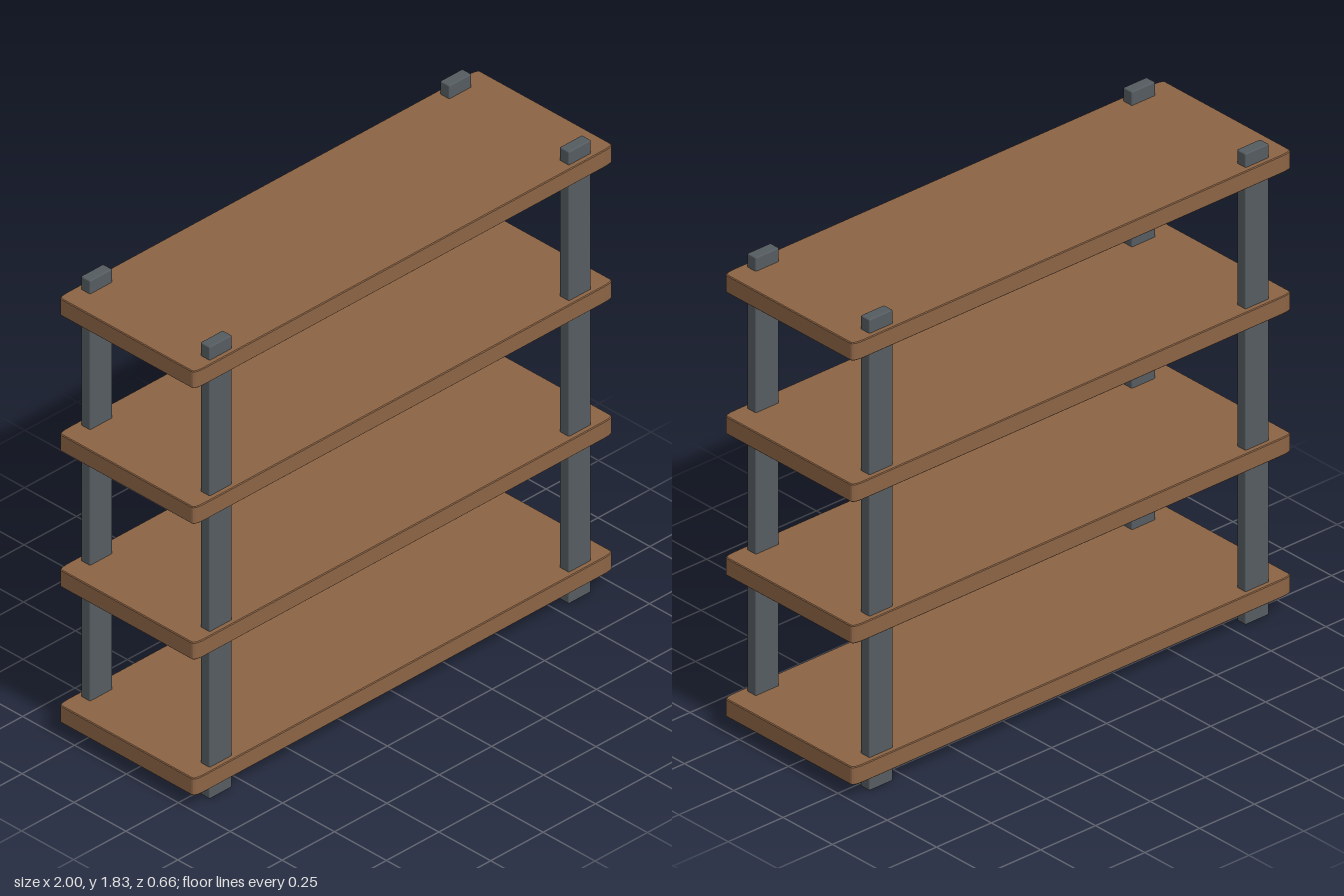
import * as THREE from 'three';
import { RoundedBoxGeometry } from 'three/addons/geometries/RoundedBoxGeometry.js';

export function createModel() {
  const group = new THREE.Group();
  group.name = 'shelvingUnit';

  const wood = new THREE.MeshStandardMaterial({ color: 0x8c6445 });
  wood.name = 'brown wood';
  const metal = new THREE.MeshStandardMaterial({ color: 0x555c61 });
  metal.name = 'dark grey metal';

  // Shelf outline: a board whose corners ease off more along x than along z
  const hx = 1, hz = 0.33, rx = 0.05, rz = 0.016;
  const outline = new THREE.Shape();
  outline.moveTo(-hx + rx, -hz);
  outline.lineTo(hx - rx, -hz);
  outline.quadraticCurveTo(hx, -hz, hx, -hz + rz);
  outline.lineTo(hx, hz - rz);
  outline.quadraticCurveTo(hx, hz, hx - rx, hz);
  outline.lineTo(-hx + rx, hz);
  outline.quadraticCurveTo(-hx, hz, -hx, hz - rz);
  outline.lineTo(-hx, -hz + rz);
  outline.quadraticCurveTo(-hx, -hz, -hx + rx, -hz);

  const thickness = 0.07, bevel = 0.003;
  const shelfGeometry = new THREE.ExtrudeGeometry(outline, {
    depth: thickness - 2 * bevel, curveSegments: 5,
    bevelEnabled: true, bevelSegments: 1,
    bevelSize: bevel, bevelThickness: bevel, bevelOffset: -bevel,
  });
  shelfGeometry.translate(0, 0, bevel);
  shelfGeometry.rotateX(-Math.PI / 2);

  // Four evenly spaced shelves
  for (let i = 0; i < 4; i++) {
    const shelf = new THREE.Mesh(shelfGeometry, wood);
    shelf.name = `shelf${i + 1}`;
    shelf.position.y = 0.06 + i * 0.55;
    group.add(shelf);
  }

  // Four flat posts running through the shelves
  const height = 1.833;
  const postGeometry = new RoundedBoxGeometry(0.107, height, 0.045, 2, 0.005);
  for (const x of [-1, 1]) {
    for (const z of [-1, 1]) {
      const post = new THREE.Mesh(postGeometry, metal);
      post.name = `${z > 0 ? 'front' : 'back'}${x > 0 ? 'Left' : 'Right'}Post`;
      post.position.set(x * 0.857, height / 2, z * 0.288);
      group.add(post);
    }
  }

  return group;
}
